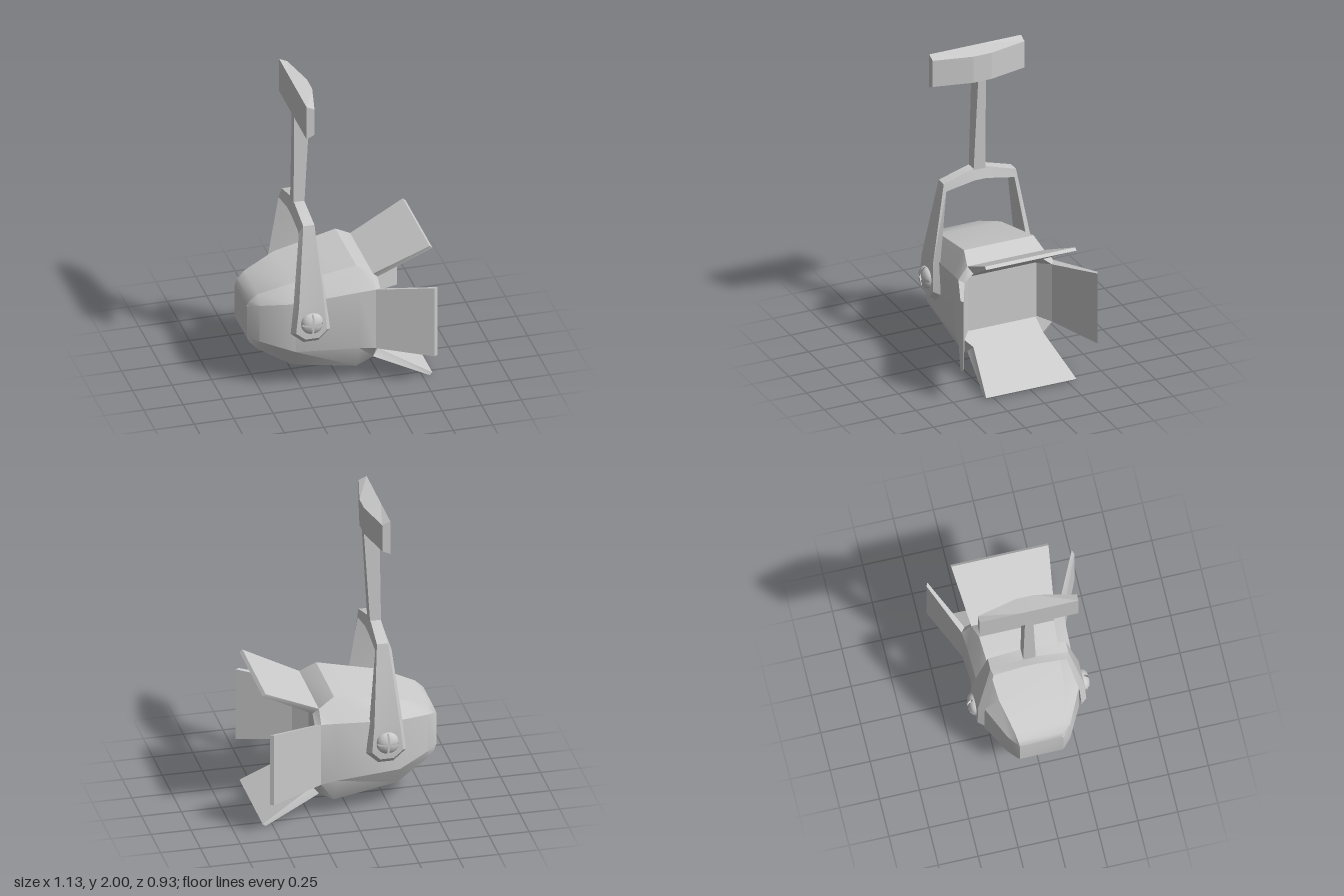
import * as THREE from 'three';
import { toCreasedNormals } from 'three/addons/utils/BufferGeometryUtils.js';

const material = new THREE.MeshStandardMaterial({ color: 0xcccccc });
const openMaterial = new THREE.MeshStandardMaterial({ color: 0xcccccc, side: THREE.DoubleSide });

// Closed skin over a row of equal-length rings of [x, y, z], capped at both ends
function loft(name, rings, crease = 0.45) {
  const tris = [];
  const n = rings[0].length;
  for (let r = 0; r < rings.length - 1; r++) {
    for (let i = 0; i < n; i++) {
      const j = (i + 1) % n;
      const a = rings[r][i], b = rings[r][j], c = rings[r + 1][j], d = rings[r + 1][i];
      tris.push([a, b, c], [a, c, d]);
    }
  }
  const first = rings[0], last = rings[rings.length - 1];
  for (let i = 1; i < n - 1; i++) {
    tris.push([first[0], first[i + 1], first[i]], [last[0], last[i], last[i + 1]]);
  }
  // Signed volume tells whether the faces point outwards
  let volume = 0;
  for (const [a, b, c] of tris) {
    volume += new THREE.Vector3(...a).dot(new THREE.Vector3(...b).cross(new THREE.Vector3(...c)));
  }
  if (volume < 0) tris.forEach((t) => t.reverse());
  let geometry = new THREE.BufferGeometry();
  geometry.setAttribute('position', new THREE.Float32BufferAttribute(tris.flat(2), 3));
  geometry = toCreasedNormals(geometry, crease);
  const mesh = new THREE.Mesh(geometry, material);
  mesh.name = name;
  return mesh;
}

// Chamfered rectangle across the lamp axis; f* are the limits of the flat sides
const housingRing = ([x, y0, y1, z, fy0, fy1, fz]) => [
  [x, y1, fz], [x, fy1, z], [x, fy0, z], [x, y0, fz],
  [x, y0, -fz], [x, fy0, -z], [x, fy1, -z], [x, y1, -fz],
];

function createHousing() {
  return loft('lampHousing', [
    [-0.565, 0.34, 0.565, 0.137, 0.345, 0.56, 0.13],
    [-0.55, 0.31, 0.6, 0.15, 0.343, 0.57, 0.142],
    [-0.5, 0.26, 0.645, 0.195, 0.335, 0.585, 0.152],
    [-0.3, 0.15, 0.72, 0.295, 0.285, 0.62, 0.205],
    [0.1, 0.095, 0.8, 0.31, 0.26, 0.65, 0.235],
    [0.2, 0.16, 0.74, 0.32, 0.25, 0.66, 0.26],
    // rim, then back inside to the recessed lens plate
    [0.235, 0.2, 0.7, 0.295, 0.26, 0.65, 0.235],
    [0.15, 0.27, 0.64, 0.23, 0.275, 0.635, 0.225],
  ].map(housingRing));
}

// Flaps around the opening: a pair above and below, a pair at the sides
function createBarnDoors() {
  const group = new THREE.Group();
  group.name = 'barnDoors';
  const flat = (rows) => rows.map(([xo, yo, wo, xi, yi, wi]) =>
    [[xo, yo, wo], [xo, yo, -wo], [xi, yi, -wi], [xi, yi, wi]]);
  group.add(loft('topDoor', flat([
    [0.2, 0.74, 0.26, 0.235, 0.7, 0.235],
    [0.545, 0.905, 0.305, 0.563, 0.89, 0.305],
  ])));
  group.add(loft('bottomDoor', flat([
    [0.2, 0.16, 0.26, 0.235, 0.2, 0.235],
    [0.545, 0, 0.305, 0.563, 0.015, 0.305],
  ])));
  for (const s of [1, -1]) {
    group.add(loft(s > 0 ? 'leftDoor' : 'rightDoor', [
      [[0.2, 0.66, s * 0.32], [0.2, 0.25, s * 0.32], [0.235, 0.26, s * 0.295], [0.235, 0.65, s * 0.295]],
      [[0.53, 0.697, s * 0.463], [0.53, 0.22, s * 0.463], [0.552, 0.22, s * 0.452], [0.552, 0.697, s * 0.452]],
    ]));
  }
  return group;
}

// Bevelled strap running up one side, over the top and down the other side
function createYoke() {
  // outer face y, z, x range; inner face y, z, x range
  const half = [
    [0.39, 0.34, -0.25, -0.165, 0.355, 0.305, -0.255, -0.16],
    [0.44, 0.34, -0.31, -0.115, 0.425, 0.305, -0.335, -0.085],
    [0.62, 0.335, -0.29, -0.13, 0.62, 0.297, -0.314, -0.106],
    [1.13, 0.244, -0.238, -0.167, 1.08, 0.23, -0.262, -0.16],
    [1.188, 0.045, -0.24, -0.175, 1.115, 0.04, -0.262, -0.16],
  ];
  const ring = (s) => ([yo, zo, a, b, yi, zi, c, d]) =>
    [[a, yo, s * zo], [b, yo, s * zo], [d, yi, s * zi], [c, yi, s * zi]];
  return loft('yoke', [...half.map(ring(1)), ...half.slice().reverse().map(ring(-1))], 0.3);
}

// Post and the wedge-fronted mounting block on top of it
function createMount() {
  const group = new THREE.Group();
  group.name = 'mount';
  const square = (y, x0, x1, z) => [[x0, y, z], [x1, y, z], [x1, y, -z], [x0, y, -z]];
  group.add(loft('post', [
    square(1.15, -0.242, -0.175, 0.04),
    square(1.82, -0.235, -0.135, 0.026),
  ]));
  const section = ([z, x]) =>
    [[-0.235, 2, z], [x, 1.978, z], [x, 1.8, z], [-0.235, 1.775, z]];
  group.add(loft('mountingBlock',
    [[0.31, -0.185], [0.06, -0.13], [-0.06, -0.13], [-0.31, -0.185]].map(section), 0.1));
  return group;
}

// Domed pivot knob split by a cross-shaped slot
function createKnob(s) {
  const knob = new THREE.Group();
  knob.name = s > 0 ? 'leftKnob' : 'rightKnob';
  const base = new THREE.Mesh(new THREE.CylinderGeometry(0.064, 0.07, 0.025, 16), material);
  base.name = 'knobBase';
  knob.add(base);
  const profile = [[0.062, 0], [0.06, 0.015], [0.042, 0.032], [0.015, 0.039], [0, 0.04]]
    .map(([r, y]) => new THREE.Vector2(r, y));
  for (let i = 0; i < 4; i++) {
    const quarter = new THREE.Mesh(
      new THREE.LatheGeometry(profile, 4, i * Math.PI / 2, Math.PI / 2), openMaterial);
    const mid = (i + 0.5) * Math.PI / 2;
    quarter.position.set(Math.sin(mid) * 0.009, 0.004, Math.cos(mid) * 0.009);
    quarter.name = 'knobQuarter';
    knob.add(quarter);
  }
  knob.rotation.x = s * Math.PI / 2;
  knob.position.set(-0.21, 0.5, s * 0.336);
  return knob;
}

export function createModel() {
  const model = new THREE.Group();
  model.name = 'stageLight';
  model.add(createHousing(), createBarnDoors(), createYoke(), createMount(), createKnob(1), createKnob(-1));
  return model;
}
